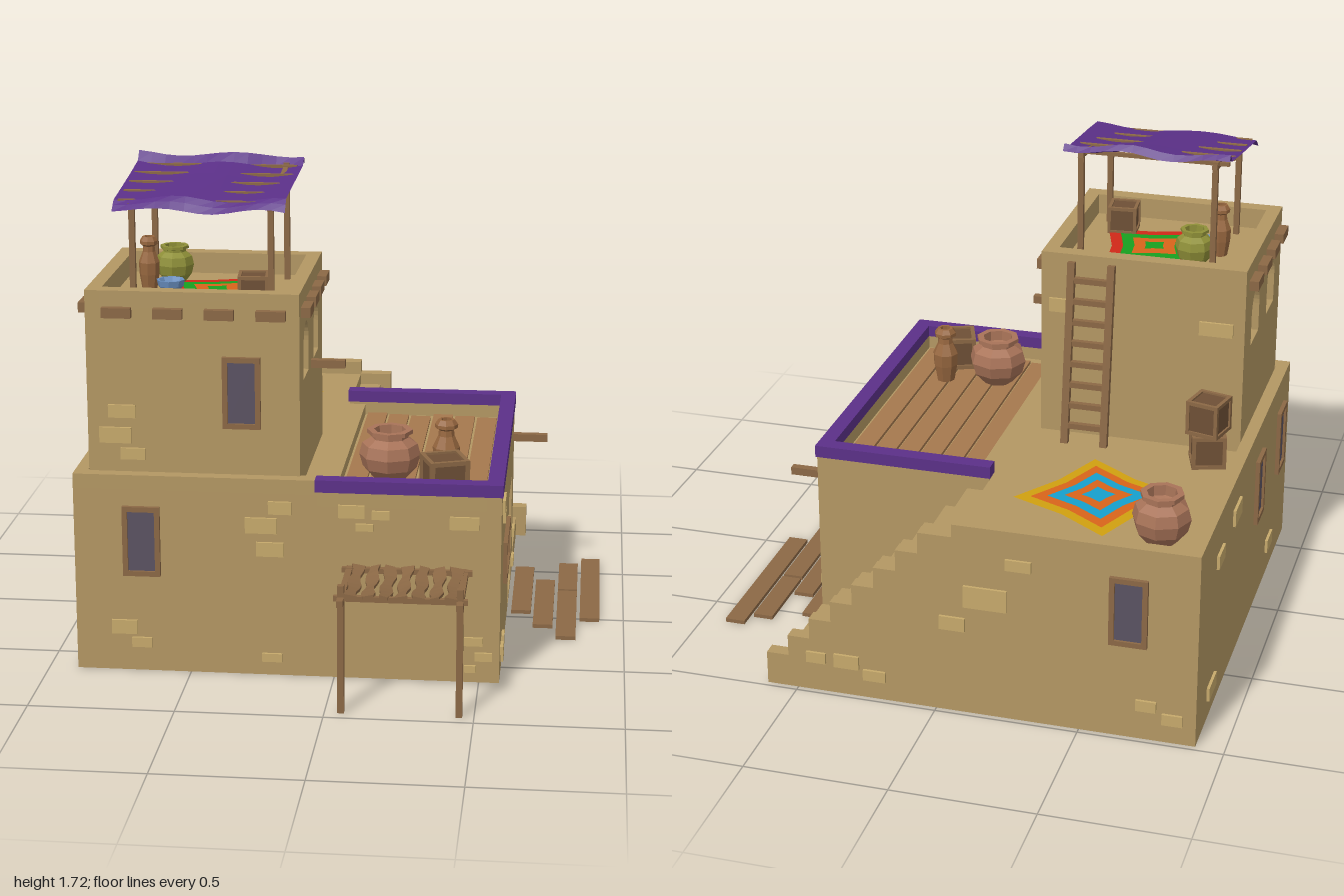
import * as THREE from 'three';

const C = { wall: 0xb39763, brick: 0xc6a96b, wood: 0x8b6845, dark: 0x6e5036, door: 0xa5784e, purple: 0x5b3088,
  pane: 0x5a5262, clay: 0xa87358, amphora: 0x97673f, olive: 0x8f9038, blue: 0x6a8fc0 };
const mats = {};
const mat = (c) => mats[c] ??= new THREE.MeshStandardMaterial({ color: c, flatShading: true, side: THREE.DoubleSide });

function add(parent, name, geo, color, x = 0, y = 0, z = 0) {
  const m = new THREE.Mesh(geo, mat(color));
  m.name = name;
  m.position.set(x, y, z);
  parent.add(m);
  return m;
}
// box given by its limits
const span = (p, name, c, x0, x1, y0, y1, z0, z1) =>
  add(p, name, new THREE.BoxGeometry(x1 - x0, y1 - y0, z1 - z0), c, (x0 + x1) / 2, (y0 + y1) / 2, (z0 + z1) / 2);
// square bar between two points
function bar(p, name, c, a, b, t) {
  const A = new THREE.Vector3(...a), B = new THREE.Vector3(...b);
  const m = add(p, name, new THREE.BoxGeometry(t, t, A.distanceTo(B)), c);
  m.position.copy(A).add(B).multiplyScalar(0.5);
  m.lookAt(B);
  return m;
}
function group(parent, name, x = 0, y = 0, z = 0, ry = 0) {
  const g = new THREE.Group();
  g.name = name;
  g.position.set(x, y, z);
  g.rotation.y = ry;
  parent.add(g);
  return g;
}

// wall slab in the yz plane with openings [z0, z1, y0, y1, arched]
function sidePanel(p, name, x, t, z0, z1, y0, y1, openings) {
  const s = new THREE.Shape([[-z1, y0], [-z0, y0], [-z0, y1], [-z1, y1]].map((q) => new THREE.Vector2(...q)));
  for (const [a, b, c, d, arched] of openings) {
    const h = new THREE.Path(), r = (b - a) / 2, top = arched ? d - r * 1.2 : d;
    h.moveTo(-b, c).lineTo(-b, top);
    if (arched) h.absellipse(-(a + b) / 2, top, r, r * 1.2, Math.PI, 0, true);
    else h.lineTo(-a, top);
    h.lineTo(-a, c).lineTo(-b, c);
    s.holes.push(h);
  }
  const m = add(p, name, new THREE.ExtrudeGeometry(s, { depth: t, bevelEnabled: false, curveSegments: 8 }), C.wall, x);
  m.rotation.y = Math.PI / 2;
}

// framed window facing +z before rotation
function makeWindow(p, x, y, z, ry, w, h) {
  const g = group(p, 'window', x, y, z, ry), f = 0.018;
  span(g, 'windowPane', C.pane, -w / 2 + f, w / 2 - f, -h / 2 + f, h / 2 - f, -0.01, 0.006);
  for (const s of [-1, 1]) {
    add(g, 'frameSide', new THREE.BoxGeometry(f, h, 0.03), C.wood, s * (w - f) / 2);
    add(g, 'frameBar', new THREE.BoxGeometry(w - 2 * f, f, 0.03), C.wood, 0, s * (h - f) / 2);
  }
}

function makePot(p, name, color, x, y, z, r, h, profile) {
  const pts = profile.map(([a, b]) => new THREE.Vector2(a * r, b * h));
  add(p, name, new THREE.LatheGeometry(pts, 8), color, x, y, z);
}
const ROUND = [[0, 0], [0.5, 0], [0.88, 0.25], [1, 0.5], [0.9, 0.72], [0.6, 0.84], [0.6, 0.9], [0.74, 0.92], [0.74, 1], [0.52, 1], [0.5, 0.8], [0, 0.7]];
const TALL = [[0, 0], [0.7, 0], [0.95, 0.3], [1, 0.52], [0.6, 0.72], [0.55, 0.82], [0.85, 0.86], [0.85, 0.92], [0.6, 1], [0.4, 1], [0.4, 0.8], [0, 0.75]];
const BOWL = [[0, 0], [0.5, 0], [0.9, 0.5], [1, 1], [0.85, 1], [0.5, 0.35], [0, 0.3]];

function makeCrate(p, x, y, z, ry, w, h) {
  const g = group(p, 'crate', x, y, z, ry), t = w * 0.11, e = w / 2 - t / 2;
  add(g, 'crateBody', new THREE.BoxGeometry(w - t, h - t, w - t), C.dark, 0, h / 2);
  for (const s of [-1, 1]) for (const q of [-1, 1]) {
    add(g, 'crateCorner', new THREE.BoxGeometry(t, h, t), C.wood, s * e, h / 2, q * e);
    const hy = h / 2 + q * (h - t) / 2;
    add(g, 'crateRail', new THREE.BoxGeometry(w - 2 * t, t, t), C.wood, 0, hy, s * e);
    add(g, 'crateRail', new THREE.BoxGeometry(t, t, w - 2 * t), C.wood, s * e, hy, 0);
  }
}

// rug of nested squares with drawn-in edges
function makeRug(p, x, y, z, ry, half, colors) {
  const g = group(p, 'rug', x, y, z, ry);
  colors.forEach((c, i) => {
    const r = half * (1 - i * 0.8 / (colors.length - 1)), k = r * 0.9;
    const s = new THREE.Shape([[-r, -r], [0, -k], [r, -r], [k, 0], [r, r], [0, k], [-r, r], [-k, 0]].map((q) => new THREE.Vector2(...q)));
    add(g, 'rugLayer', new THREE.ShapeGeometry(s), c, 0, 0.004 + i * 0.002).rotation.x = -Math.PI / 2;
  });
}

// bricks proud of a wall: rows of [u, y, w, h]
function makeBricks(p, axis, at, rows) {
  for (const [u, y, w, h] of rows) {
    if (axis === 'z') add(p, 'brick', new THREE.BoxGeometry(w, h, 0.02), C.brick, u, y, at);
    else add(p, 'brick', new THREE.BoxGeometry(0.02, h, w), C.brick, at, y, u);
  }
}

export function createModel() {
  const root = new THREE.Group();
  root.name = 'house';

  // left block with parapet
  const left = group(root, 'leftBlock');
  span(left, 'body', C.wall, -0.9, -0.06, 0, 0.66, -0.98, 0.645);
  span(left, 'parapetLeft', C.wall, -0.9, -0.855, 0.66, 0.71, -0.98, 0.645);
  span(left, 'parapetBack', C.wall, -0.855, -0.06, 0.66, 0.71, -0.98, -0.93);
  span(left, 'parapetFront', C.wall, -0.855, -0.06, 0.66, 0.71, 0.59, 0.645);

  // right block with door opening, sunken plank roof and painted rim
  const right = group(root, 'rightBlock');
  span(right, 'body', C.wall, -0.06, 0.52, 0, 0.62, -0.54, 0.645);
  span(right, 'roofLedge', C.wall, -0.06, 0, 0.62, 0.66, -0.5, 0.6);
  sidePanel(right, 'doorWall', 0.52, 0.05, -0.54, 0.645, 0, 0.67, [[-0.4, -0.08, 0.02, 0.43]]);
  for (const [z0, z1] of [[0.6, 0.645], [-0.54, -0.495]]) {
    span(right, 'parapet', C.wall, -0.06, 0.52, 0.62, 0.67, z0, z1);
    span(right, 'rim', C.purple, -0.065, 0.575, 0.67, 0.713, z0 - 0.005, z1 + 0.005);
  }
  span(right, 'rimSide', C.purple, 0.52, 0.575, 0.67, 0.713, -0.49, 0.595);
  for (let i = 0; i < 6; i++) {
    const x = 0.012 + i * 0.084, d = 0.015 * (i % 3);
    span(right, 'roofPlank', C.door, x, x + 0.074, 0.62, 0.632, -0.48 + d, 0.54 + d);
  }
  for (let i = 0; i < 5; i++)
    span(right, 'doorPlank', C.door, 0.515, 0.535, 0.02, 0.42, -0.398 + i * 0.064, -0.338 + i * 0.064);
  bar(right, 'wallPeg', C.wood, [0.52, 0.56, -0.45], [0.7, 0.56, -0.45], 0.028);

  // stairs with stepped outer wall
  const stairs = group(root, 'stairs');
  for (let i = 0; i < 8; i++) {
    const x = -0.06 + i * 0.079, drop = i * 0.0775;
    span(stairs, 'step', C.wall, x, x + 0.079, 0, 0.62 - drop, -0.93, -0.54);
    span(stairs, 'wallStep', C.wall, i ? x + 0.04 : x, x + 0.119, 0, 0.663 - drop, -0.98, -0.93);
  }

  // tower with arched niches and parapet
  const tower = group(root, 'tower');
  span(tower, 'core', C.wall, -0.8, -0.17, 0.66, 1.27, -0.08, 0.6);
  for (const x of [-0.85, -0.17])
    sidePanel(tower, 'nicheWall', x, 0.05, -0.08, 0.6, 0.66, 1.345, [[0.045, 0.19, 1.02, 1.21, true], [0.34, 0.485, 1.02, 1.21, true]]);
  span(tower, 'parapetFront', C.wall, -0.8, -0.17, 1.27, 1.345, 0.545, 0.6);
  span(tower, 'parapetBack', C.wall, -0.8, -0.17, 1.27, 1.345, -0.08, -0.025);
  for (let i = 0; i < 4; i++) {
    const x = -0.74 + i * 0.175, z = 0.025 + i * 0.16;
    span(tower, 'beamEnd', C.wood, x - 0.05, x + 0.05, 1.255, 1.29, 0.59, 0.626);
    for (const s of [-0.865, -0.105])
      span(tower, 'beamEnd', C.wood, s - 0.018, s + 0.018, 1.255, 1.29, z - 0.05, z + 0.05);
  }
  bar(tower, 'wallPeg', C.wood, [-0.18, 1.02, 0.26], [0, 1.02, 0.26], 0.028);

  // windows on all sides
  const wins = group(root, 'windows');
  makeWindow(wins, -0.665, 0.475, 0.645, 0, 0.13, 0.25);
  makeWindow(wins, -0.318, 1, 0.6, 0, 0.13, 0.25);
  makeWindow(wins, 0.57, 0.36, 0.28, Math.PI / 2, 0.3, 0.15);
  makeWindow(wins, -0.665, 0.475, -0.98, Math.PI, 0.13, 0.25);
  for (const z of [0.04, 0.465]) makeWindow(wins, -0.9, 0.475, z, -Math.PI / 2, 0.13, 0.25);

  // scattered bricks
  const bricks = group(root, 'bricks');
  makeBricks(bricks, 'z', 0.645, [[-0.73, 0.16, 0.09, 0.05], [-0.67, 0.105, 0.07, 0.035], [-0.215, 0.065, 0.07, 0.03],
    [-0.22, 0.46, 0.095, 0.05], [-0.25, 0.545, 0.11, 0.055], [-0.185, 0.61, 0.08, 0.045], [0.06, 0.605, 0.09, 0.045],
    [0.16, 0.595, 0.06, 0.03], [0.105, 0.55, 0.06, 0.025], [0.445, 0.575, 0.1, 0.045], [0.48, 0.15, 0.065, 0.03],
    [0.515, 0.095, 0.06, 0.03], [0.47, 0.05, 0.04, 0.025]]);
  makeBricks(bricks, 'z', 0.6, [[-0.73, 0.925, 0.095, 0.045], [-0.755, 0.84, 0.11, 0.055], [-0.695, 0.775, 0.085, 0.04]]);
  makeBricks(bricks, 'x', 0.57, [[0.52, 0.61, 0.1, 0.05], [0.48, 0.555, 0.08, 0.035], [0.02, 0.37, 0.055, 0.04], [0.08, 0.335, 0.065, 0.04],
    [0.46, 0.095, 0.06, 0.04], [0.52, 0.06, 0.055, 0.04], [0.57, 0.1, 0.055, 0.03], [-0.49, 0.17, 0.06, 0.035], [-0.44, 0.07, 0.07, 0.035]]);
  makeBricks(bricks, 'z', -0.98, [[-0.175, 0.45, 0.15, 0.08], [-0.06, 0.34, 0.09, 0.05], [-0.29, 0.59, 0.09, 0.04],
    [0.32, 0.13, 0.09, 0.05], [0.22, 0.09, 0.08, 0.04], [0.43, 0.13, 0.07, 0.04], [-0.73, 0.13, 0.07, 0.04], [-0.82, 0.09, 0.07, 0.04]]);
  makeBricks(bricks, 'x', -0.9, [[-0.38, 0.58, 0.12, 0.06], [-0.75, 0.1, 0.12, 0.05], [-0.66, 0.55, 0.1, 0.05], [0.3, 0.12, 0.1, 0.05]]);
  makeBricks(bricks, 'z', -0.08, [[-0.75, 1.12, 0.12, 0.05], [-0.19, 1.15, 0.08, 0.05]]);

  // tower awning: posts, rails, slats and sagging cloth
  const awning = group(root, 'awning');
  for (const x of [-0.705, -0.23]) {
    bar(awning, 'post', C.wood, [x, 1.27, 0.04], [x, 1.69, 0.04], 0.02);
    bar(awning, 'post', C.wood, [x, 1.27, 0.475], [x, 1.62, 0.475], 0.02);
    bar(awning, 'rail', C.wood, [x, 1.675, 0.02], [x, 1.615, 0.5], 0.018);
  }
  for (let i = 0; i < 5; i++) {
    const z = 0.06 + i * 0.104, y = 1.678 - i * 0.0125;
    bar(awning, 'slat', C.wood, [-0.75, y, z], [-0.19, y, z], 0.014);
  }
  const fold = [[0.012, 1.695], [0.03, 1.715], [0.06, 1.685], [0.2, 1.668], [0.35, 1.653], [0.48, 1.64], [0.5, 1.625], [0.52, 1.605]];
  const cloth = new THREE.PlaneGeometry(0.59, 1, 12, fold.length - 1);
  const cp = cloth.attributes.position;
  for (let i = 0; i < cp.count; i++) {
    const row = Math.floor(i / 13), x = cp.getX(i), [z, y] = fold[row];
    cp.setXYZ(i, x - 0.467 - 0.015 * (z - 0.25), y + 0.009 * Math.sin(x * 17 + row * 0.6), z + 0.008 * Math.sin(x * 23));
  }
  add(awning, 'cloth', cloth, C.purple);

  // porch canopy of warped slats
  const porch = group(root, 'porch');
  for (const x of [0.055, 0.45]) {
    bar(porch, 'post', C.wood, [x, 0, 0.95], [x, 0.45, 0.95], 0.022);
    bar(porch, 'rail', C.wood, [x, 0.4, 0.64], [x, 0.4, 1], 0.022);
  }
  for (const z of [0.67, 0.95]) bar(porch, 'crossbar', C.wood, [0.03, 0.405, z], [0.475, 0.405, z], 0.018);
  for (let k = 0; k < 7; k++) {
    const geo = new THREE.BoxGeometry(0.038, 0.01, 0.3, 1, 1, 8), p = geo.attributes.position;
    for (let i = 0; i < p.count; i++) {
      const z = p.getZ(i), s = Math.sign(p.getX(i));
      p.setX(i, p.getX(i) + 0.006 * Math.sin(z * 40 + k * 2 + s));
      p.setY(i, p.getY(i) - 0.015 * Math.cos(z * 10) + 0.004 * s * (k % 2 ? 1 : -1));
    }
    add(porch, 'slat', geo, C.wood, 0.087 + k * 0.056, 0.418, 0.815);
  }

  // ladder against the tower
  const ladder = group(root, 'ladder');
  for (const x of [-0.375, -0.232]) bar(ladder, 'rail', C.wood, [x, 0.66, -0.17], [x, 1.32, -0.092], 0.026);
  for (let i = 0; i < 8; i++) {
    const t = 0.1 + i * 0.115, y = 0.66 + t * 0.66, z = -0.17 + t * 0.078;
    bar(ladder, 'rung', C.wood, [-0.375, y, z], [-0.232, y, z], 0.02);
  }

  // boards laid on the ground by the door
  const boards = group(root, 'groundBoards');
  for (const [x, z0, z1] of [[0.587, -0.515, 0.035 - 0.07], [0.67, -0.375, 0.105], [0.755, -0.57, -0.275], [0.755, -0.26, 0.215], [0.84, -0.63, 0.025]])
    span(boards, 'board', C.wood, x, x + 0.072, 0, 0.014, z0, z1);

  // pots, crates and rugs
  const goods = group(root, 'goods');
  makePot(goods, 'roundPot', C.clay, -0.73, 0.66, -0.81, 0.1, 0.18, ROUND);
  makePot(goods, 'roundPot', C.clay, 0.165, 0.632, 0.345, 0.108, 0.18, ROUND);
  makePot(goods, 'tallJar', C.amphora, 0.36, 0.632, 0.305, 0.048, 0.21, TALL);
  makePot(goods, 'tallJar', C.amphora, -0.69, 1.27, 0.25, 0.037, 0.19, TALL);
  makePot(goods, 'olivePot', C.olive, -0.62, 1.27, 0.13, 0.068, 0.135, ROUND);
  makePot(goods, 'bowl', C.blue, -0.61, 1.27, 0.28, 0.05, 0.045, BOWL);
  makeCrate(goods, 0.365, 0.632, 0.465, 0.35, 0.14, 0.122);
  makeCrate(goods, -0.755, 0.66, -0.19, 0.3, 0.12, 0.12);
  makeCrate(goods, -0.755, 0.78, -0.19, -0.25, 0.12, 0.125);
  makeCrate(goods, -0.3, 1.27, 0.405, 0.08, 0.105, 0.1);
  makeRug(goods, -0.455, 0.66, -0.56, -0.5, 0.205, [0xd0a010, 0xd8641a, 0x16a0cc, 0xd8641a, 0x16a0cc]);
  makeRug(goods, -0.45, 1.27, 0.25, 0.2, 0.17, [0xd02818, 0x18a020, 0xd8641a, 0x18a020]);

  return root;
}
